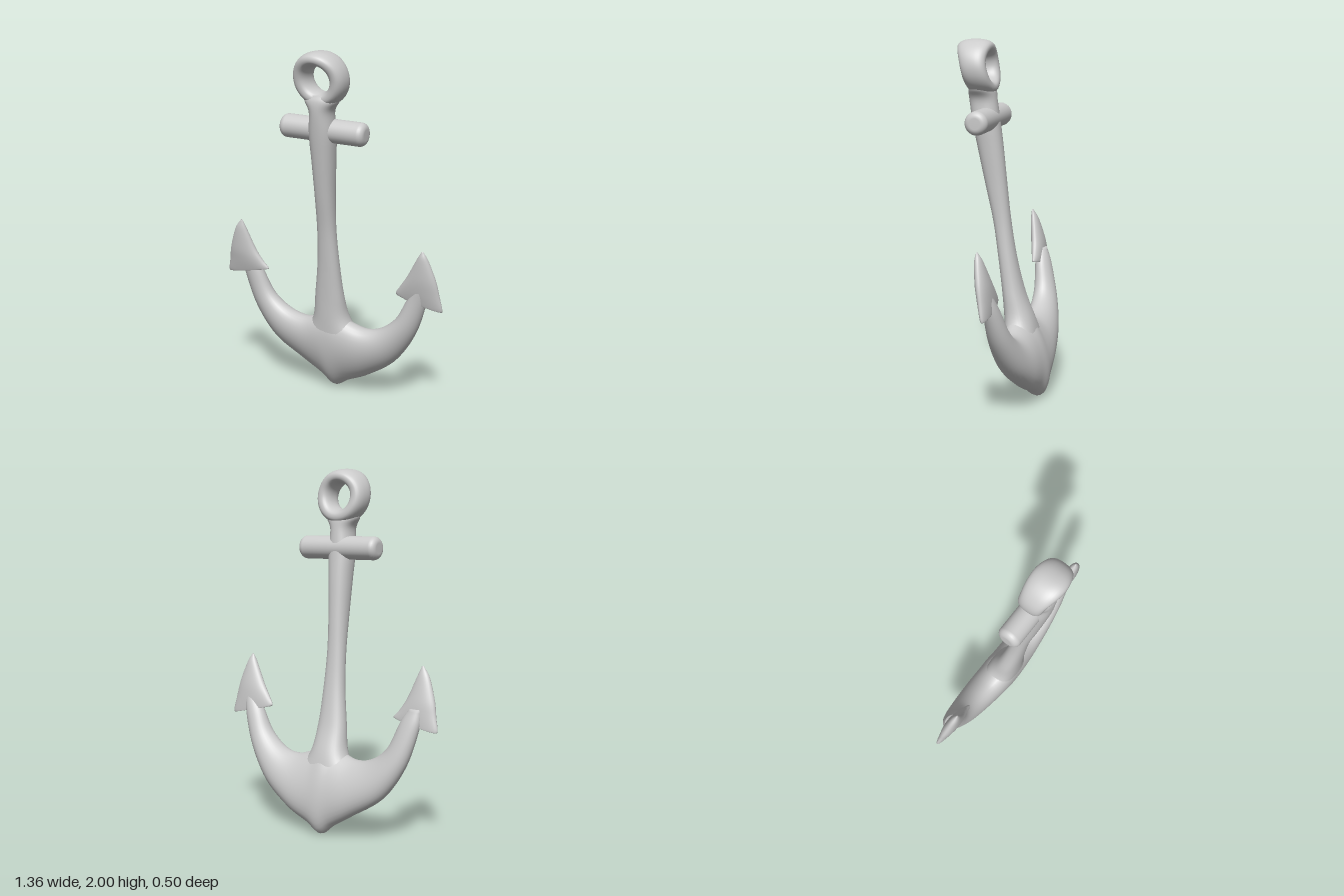
import * as THREE from 'three';

const material = new THREE.MeshStandardMaterial({ color: 0xcccccc });

// Smooth skin over oval sections. Each row: one edge (x, y, z), the opposite edge (x, y, z), half depth in z.
function loft(rows, { closed = false, steps = 6, sides = 32, power = 1 } = {}) {
  const curve = pick => new THREE.CatmullRomCurve3(rows.map(pick), closed, 'catmullrom', 0.5);
  const edgeA = curve(r => new THREE.Vector3(r[0], r[1], r[2]));
  const edgeB = curve(r => new THREE.Vector3(r[3], r[4], r[5]));
  const depth = curve(r => new THREE.Vector3(r[6], 0, 0));
  const spans = (closed ? rows.length : rows.length - 1) * steps;
  const rings = closed ? spans : spans + 1;
  const shape = v => Math.sign(v) * Math.abs(v) ** power;
  const pos = [], index = [];
  for (let i = 0; i < rings; i++) {
    const t = i / spans;
    const a = edgeA.getPoint(t), b = edgeB.getPoint(t), d = depth.getPoint(t).x;
    const mid = a.clone().add(b).multiplyScalar(0.5), half = b.sub(a).multiplyScalar(0.5);
    for (let j = 0; j < sides; j++) {
      const angle = (j / sides) * Math.PI * 2;
      const p = mid.clone().addScaledVector(half, shape(Math.cos(angle)));
      pos.push(p.x, p.y, p.z + d * shape(Math.sin(angle)));
    }
  }
  for (let i = 0; i < spans; i++) {
    for (let j = 0; j < sides; j++) {
      const k = (j + 1) % sides, n = ((i + 1) % rings) * sides;
      const a = i * sides + j, b = i * sides + k, c = n + k, d = n + j;
      index.push(a, b, c, a, c, d);
    }
  }
  // End caps
  if (!closed) {
    for (const [row, start] of [[rows[0], 0], [rows[rows.length - 1], spans * sides]]) {
      const centre = pos.length / 3;
      pos.push((row[0] + row[3]) / 2, (row[1] + row[4]) / 2, (row[2] + row[5]) / 2);
      for (let j = 0; j < sides; j++) {
        const k = (j + 1) % sides;
        if (start === 0) index.push(centre, start + k, start + j);
        else index.push(centre, start + j, start + k);
      }
    }
  }
  // Turn the faces outward if the enclosed volume is negative
  const at = n => new THREE.Vector3().fromArray(pos, n * 3);
  let volume = 0;
  for (let i = 0; i < index.length; i += 3) {
    volume += at(index[i]).dot(at(index[i + 1]).cross(at(index[i + 2])));
  }
  if (volume < 0) index.reverse();
  const geometry = new THREE.BufferGeometry();
  geometry.setAttribute('position', new THREE.Float32BufferAttribute(pos, 3));
  geometry.setIndex(index);
  geometry.computeVertexNormals();
  return geometry;
}

export function createModel() {
  const group = new THREE.Group();
  const add = (name, geometry) => {
    const mesh = new THREE.Mesh(geometry, material);
    mesh.name = name;
    group.add(mesh);
    return mesh;
  };

  // Leaning shank, flared into the arms and the ring: y, left x, right x, back z, front z
  const shank = [
    [0.34, -0.19, 0.18, -0.2, -0.015],
    [0.45, -0.115, 0.105, -0.17, -0.005],
    [0.6, -0.085, 0.085, -0.115, 0.008],
    [0.8, -0.052, 0.075, -0.07, 0.03],
    [1.0, -0.036, 0.07, -0.04, 0.058],
    [1.2, -0.03, 0.08, -0.02, 0.1],
    [1.4, -0.03, 0.098, -0.002, 0.14],
    [1.55, -0.032, 0.112, 0.015, 0.168],
    [1.67, -0.02, 0.11, 0.03, 0.185],
    [1.73, -0.05, 0.145, 0.04, 0.185],
    [1.765, -0.05, 0.145, 0.06, 0.17],
  ];
  add('shank', loft(shank.map(([y, l, r, back, front]) => {
    const z = (back + front) / 2;
    return [l, y, z, r, y, z, (front - back) / 2];
  }), { power: 0.9 }));

  // Curved arms, from the underside edge to the inner edge
  add('arms', loft([
    [-0.585, 0.75, -0.05, -0.51, 0.75, -0.045, 0.03],
    [-0.58, 0.64, -0.075, -0.465, 0.68, -0.06, 0.045],
    [-0.52, 0.43, -0.115, -0.4, 0.53, -0.085, 0.065],
    [-0.4, 0.25, -0.145, -0.3, 0.45, -0.095, 0.085],
    [-0.22, 0.13, -0.17, -0.18, 0.425, -0.09, 0.1],
    [-0.1, 0.055, -0.18, -0.07, 0.46, -0.08, 0.107],
    [-0.025, 0, -0.185, 0, 0.49, -0.08, 0.11],
    [0.06, 0.045, -0.18, 0.08, 0.45, -0.085, 0.107],
    [0.2, 0.11, -0.175, 0.2, 0.41, -0.1, 0.1],
    [0.37, 0.23, -0.155, 0.3, 0.43, -0.11, 0.085],
    [0.5, 0.41, -0.13, 0.4, 0.51, -0.105, 0.065],
    [0.575, 0.6, -0.105, 0.47, 0.63, -0.095, 0.045],
    [0.6, 0.72, -0.08, 0.53, 0.72, -0.08, 0.03],
  ]));

  // Barbed flukes, leaning forward towards the tip: outer x, y, inner x, y, half depth
  const fluke = (name, rows, lean) => add(name, loft(rows.map(([ax, ay, bx, by, d]) =>
    [ax, ay, lean(ay), bx, by, lean(by), d])));
  fluke('leftFluke', [
    [0.585, 0.935, 0.575, 0.932, 0.004],
    [0.612, 0.885, 0.545, 0.885, 0.022],
    [0.65, 0.775, 0.48, 0.775, 0.035],
    [0.668, 0.68, 0.43, 0.705, 0.034],
    [0.68, 0.592, 0.402, 0.658, 0.026],
    [0.64, 0.605, 0.45, 0.645, 0.022],
    [0.575, 0.64, 0.5, 0.65, 0.01],
  ], y => -0.045 - (0.93 - y) * 0.17);
  fluke('rightFluke', [
    [-0.555, 0.975, -0.545, 0.972, 0.004],
    [-0.6, 0.915, -0.523, 0.915, 0.022],
    [-0.645, 0.8, -0.478, 0.8, 0.035],
    [-0.664, 0.72, -0.435, 0.73, 0.034],
    [-0.682, 0.638, -0.4, 0.687, 0.026],
    [-0.635, 0.65, -0.45, 0.69, 0.022],
    [-0.58, 0.68, -0.5, 0.69, 0.01],
  ], y => 0.01 - (0.97 - y) * 0.18);

  // Round-ended stock, slightly tilted
  const half = 0.254, radius = 0.065, round = 0.035;
  const profile = [new THREE.Vector2(0, -half)];
  for (const end of [-1, 1]) {
    for (let i = 0; i <= 6; i++) {
      const angle = ((end < 0 ? i - 6 : i) / 6) * Math.PI / 2;
      profile.push(new THREE.Vector2(
        radius - round + round * Math.cos(angle), end * (half - round) + round * Math.sin(angle)));
    }
  }
  profile.push(new THREE.Vector2(0, half));
  const stock = add('stock', new THREE.LatheGeometry(profile, 32));
  stock.position.set(0.042, 1.568, 0.079);
  stock.quaternion.setFromUnitVectors(
    new THREE.Vector3(0, 1, 0), new THREE.Vector3(0.505, -0.014, -0.018).normalize());

  // Ring, deeper and further forward at the top
  const ring = [];
  for (let i = 0; i < 16; i++) {
    const angle = (i / 16) * Math.PI * 2, c = Math.cos(angle), s = Math.sin(angle);
    const z = 0.125 + 0.022 * s;
    ring.push([0.052 + 0.068 * c, 1.85 + 0.072 * s, z,
      0.052 + 0.153 * c, 1.85 + 0.15 * s, z, 0.072 + 0.024 * Math.max(0, s) ** 2]);
  }
  add('ring', loft(ring, { closed: true, power: 0.85 }));

  return group;
}
